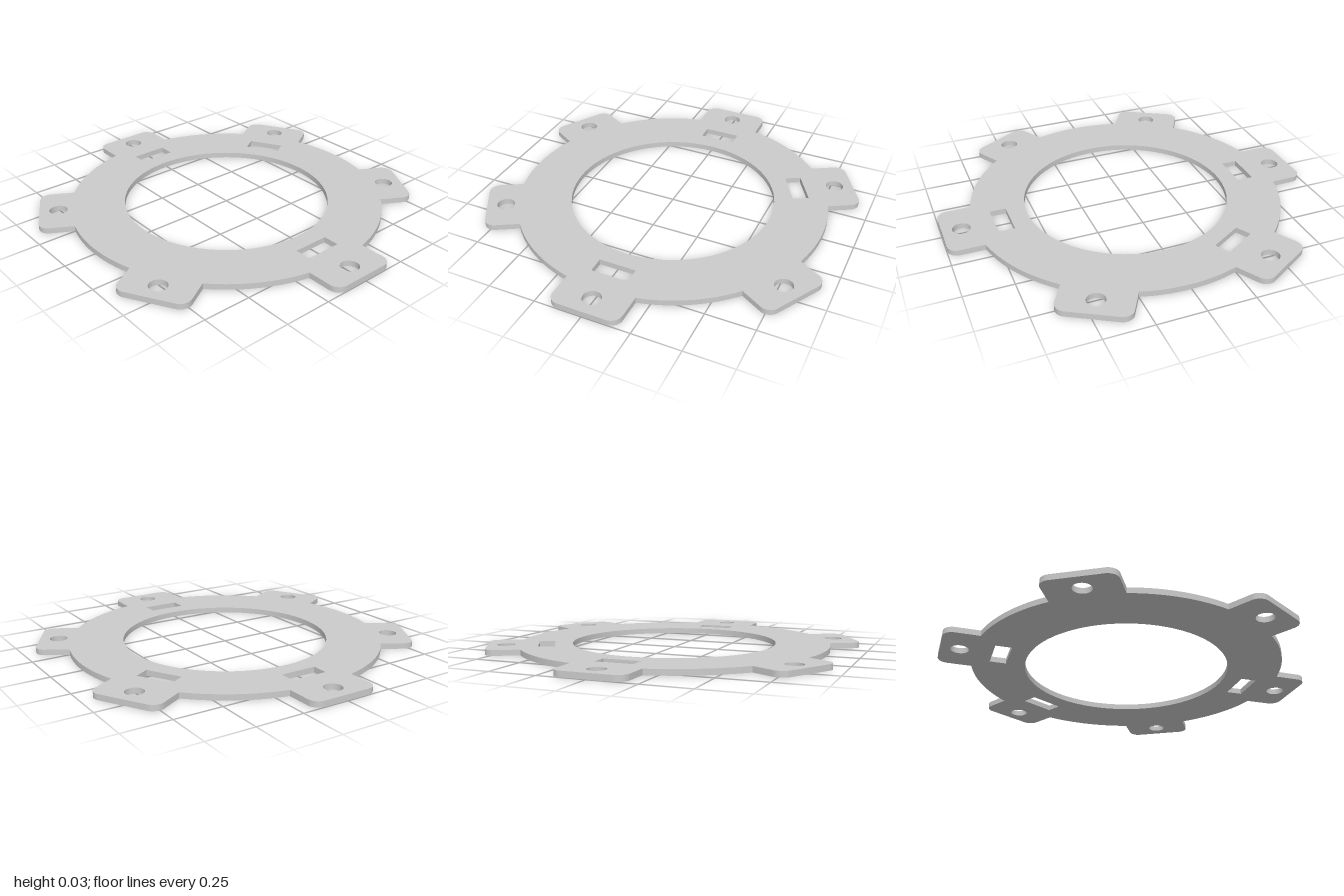
import * as THREE from 'three';
import { toCreasedNormals } from 'three/addons/utils/BufferGeometryUtils.js';

const RING_OUTER = 0.835, RING_INNER = 0.549, THICKNESS = 0.03;
const TAB_HALF = 0.183, TAB_END = 0.997, TAB_CORNER = 0.055;
const BOLT_AT = 0.898, BOLT_RADIUS = 0.047;
const SLOT_AT = 0.686, SLOT_HALF_LENGTH = 0.098, SLOT_HALF_WIDTH = 0.043;

// Point at radial distance r and sideways offset t along a spoke direction
function spoke(angle, r, t) {
  return new THREE.Vector2(r, t).rotateAround(new THREE.Vector2(), angle);
}

function circleHole(x, y, radius) {
  return new THREE.Path().absarc(x, y, radius, 0, Math.PI * 2, true);
}

// Rectangular slot lying across a spoke
function slotHole(angle) {
  const l = SLOT_HALF_LENGTH, w = SLOT_HALF_WIDTH;
  const corners = [[-w, -l], [-w, l], [w, l], [w, -l], [-w, -l]];
  return new THREE.Path(corners.map(([r, t]) => spoke(angle, SLOT_AT + r, t)));
}

export function createModel() {
  const group = new THREE.Group();
  group.name = 'mountingRing';

  const shape = new THREE.Shape();
  const rootAngle = Math.asin(TAB_HALF / RING_OUTER);
  const quarter = Math.PI / 2, step = Math.PI / 3;

  // Outline: six round-cornered tabs joined by arcs of the ring
  for (let i = 0; i < 6; i++) {
    const a = Math.PI / 6 + i * step;
    const root = spoke(a, RING_OUTER * Math.cos(rootAngle), -TAB_HALF);
    if (i === 0) shape.moveTo(root.x, root.y);
    for (const side of [-1, 1]) {
      const c = spoke(a, TAB_END - TAB_CORNER, side * (TAB_HALF - TAB_CORNER));
      const start = side < 0 ? a - quarter : a;
      shape.absarc(c.x, c.y, TAB_CORNER, start, start + quarter, false);
    }
    shape.absarc(0, 0, RING_OUTER, a + rootAngle, a + step - rootAngle, false);

    // Bolt hole in each tab
    const b = spoke(a, BOLT_AT, 0);
    shape.holes.push(circleHole(b.x, b.y, BOLT_RADIUS));
  }

  // Central opening and three slots
  shape.holes.push(circleHole(0, 0, RING_INNER));
  for (const degrees of [30, 90, 270]) {
    shape.holes.push(slotHole(THREE.MathUtils.degToRad(degrees)));
  }

  const extruded = new THREE.ExtrudeGeometry(shape, {
    depth: THICKNESS, bevelEnabled: false, curveSegments: 40,
  });
  extruded.rotateX(-Math.PI / 2);

  const plate = new THREE.Mesh(
    toCreasedNormals(extruded, Math.PI / 6),
    new THREE.MeshStandardMaterial({ color: 0xcccccc })
  );
  plate.name = 'tabbedRingPlate';
  group.add(plate);
  return group;
}
